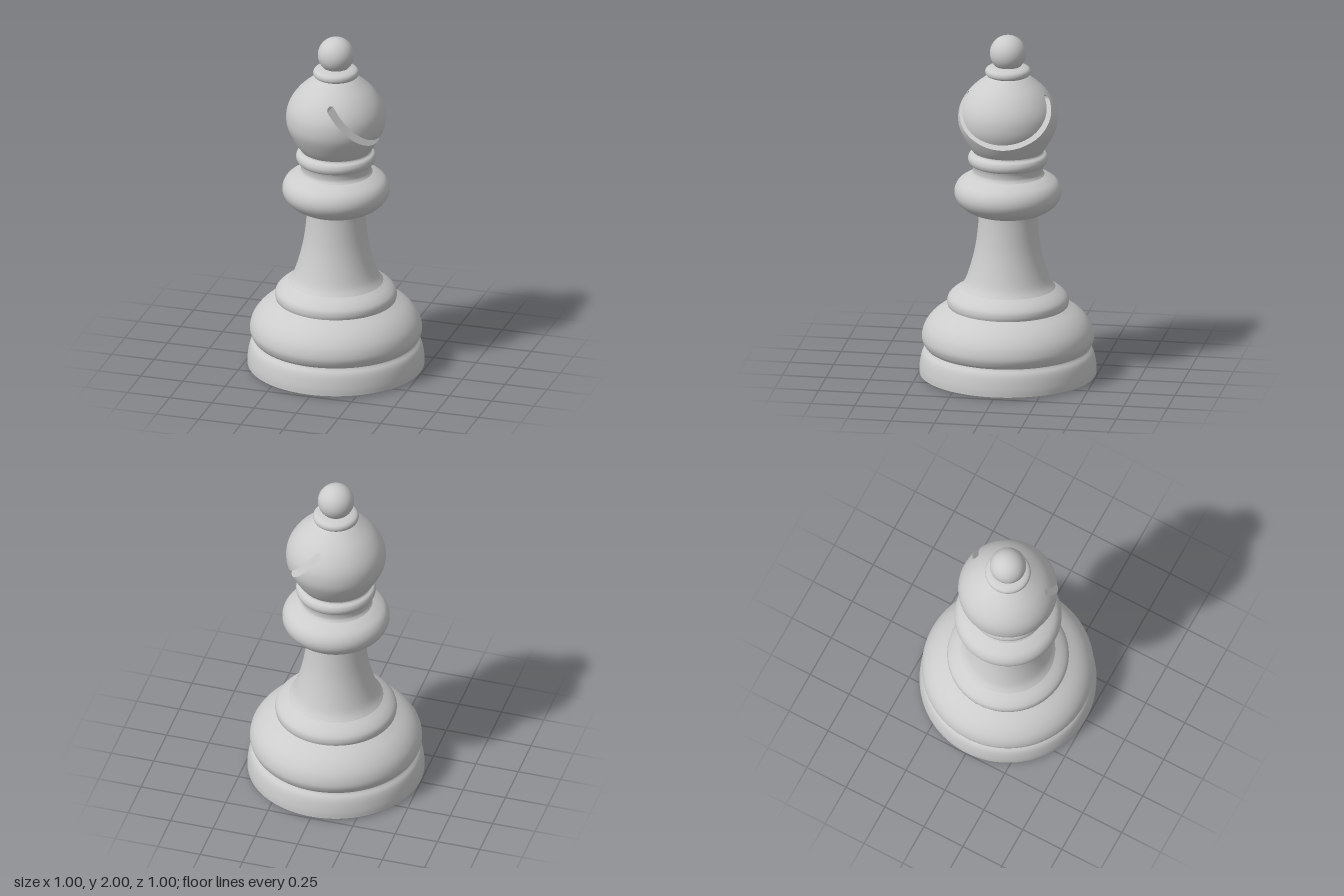
import * as THREE from 'three';

const SEGMENTS = 96;

// Smooth curve through [radius, height] pairs
const smooth = (pairs, n) =>
  new THREE.SplineCurve(pairs.map(([r, y]) => new THREE.Vector2(r, y))).getPoints(n);

const PARTS = {
  plinth: [[0.5, 0.012], [0.5, 0.05], [0.493, 0.1], [0.482, 0.135], [0.465, 0.158], [0.46, 0.168]],
  baseBulge: [[0.46, 0.165], [0.475, 0.185], [0.487, 0.225], [0.476, 0.28], [0.445, 0.33], [0.4, 0.372], [0.34, 0.41]],
  baseStep: [[0.338, 0.405], [0.344, 0.43], [0.338, 0.46], [0.31, 0.49], [0.265, 0.52]],
  stem: [[0.27, 0.515], [0.24, 0.56], [0.21, 0.65], [0.186, 0.75], [0.173, 0.84], [0.166, 0.92], [0.165, 0.965]],
  collar: [[0.16, 0.955], [0.22, 0.972], [0.273, 1.01], [0.3, 1.055], [0.301, 1.1], [0.28, 1.14], [0.24, 1.168], [0.205, 1.185]],
  neck: [[0.21, 1.18], [0.198, 1.2], [0.198, 1.225], [0.203, 1.245]],
  neckRing: [[0.195, 1.24], [0.217, 1.25], [0.226, 1.275], [0.219, 1.3], [0.2, 1.315], [0.197, 1.335]],
  finialRing: [[0.105, 1.762], [0.124, 1.772], [0.129, 1.79], [0.122, 1.807], [0.1, 1.818], [0.06, 1.825]],
};
const HEAD = [[0.196, 1.32], [0.225, 1.36], [0.258, 1.42], [0.277, 1.47], [0.282, 1.52], [0.276, 1.57],
  [0.256, 1.62], [0.222, 1.67], [0.183, 1.71], [0.13, 1.752], [0.1, 1.77]];

// Diagonal slot: direction, normal, half width and centre of its round end
const DIR = new THREE.Vector2(0.66, -0.75).normalize();
const NORMAL = new THREE.Vector2(-DIR.y, DIR.x);
const HALF = 0.019;
const END = new THREE.Vector2(0.04, 1.654);

function radiusAt(profile, y) {
  for (let i = 1; i < profile.length; i++) {
    const a = profile[i - 1], b = profile[i];
    if (y <= b.y) return a.x + (b.x - a.x) * (y - a.y) / (b.y - a.y);
  }
  return 0;
}

// Slot outline, anticlockwise, from the upper exit round the end to the lower exit
function slotOutline(profile) {
  const arc = [];
  for (let i = 0; i <= 6; i++) {
    const a = Math.PI * i / 6;
    arc.push(END.clone().addScaledVector(NORMAL, HALF * Math.cos(a)).addScaledVector(DIR, -HALF * Math.sin(a)));
  }
  const exit = (start) => {
    let lo = 0, hi = 0.42;
    for (let i = 0; i < 40; i++) {
      const t = (lo + hi) / 2, p = start.clone().addScaledVector(DIR, t);
      if (radiusAt(profile, p.y) > p.x) lo = t; else hi = t;
    }
    return start.clone().addScaledVector(DIR, lo);
  };
  return [exit(arc[0]), ...arc, exit(arc[6])];
}

// Keep the part of a polygon on one side of the line a-b (side 1 is left)
function clip(poly, a, b, side) {
  const dist = (v) => side * ((b.x - a.x) * (v[1] - a.y) - (b.y - a.y) * (v[0] - a.x));
  const out = [];
  poly.forEach((p, i) => {
    const q = poly[(i + 1) % poly.length], dp = dist(p), dq = dist(q);
    if (dp >= 0) out.push(p);
    if ((dp > 0 && dq < 0) || (dp < 0 && dq > 0)) out.push(p.map((v, k) => v + (q[k] - v) * dp / (dp - dq)));
  });
  return out;
}

// Head skin with the slot removed
function headSkin(profile, outline) {
  const lathe = new THREE.LatheGeometry(profile, SEGMENTS);
  const { position: P, normal: N } = lathe.attributes;
  const index = lathe.index.array, positions = [], normals = [];
  const vertex = (i) => [P.getX(i), P.getY(i), P.getZ(i), N.getX(i), N.getY(i), N.getZ(i)];
  const emit = (poly) => {
    for (let i = 1; i + 1 < poly.length; i++) {
      for (const v of [poly[0], poly[i], poly[i + 1]]) {
        positions.push(v[0], v[1], v[2]);
        normals.push(v[3], v[4], v[5]);
      }
    }
  };
  for (let i = 0; i < index.length; i += 3) {
    let rest = [vertex(index[i]), vertex(index[i + 1]), vertex(index[i + 2])];
    for (let e = 0; e + 1 < outline.length && rest.length > 2; e++) {
      emit(clip(rest, outline[e], outline[e + 1], -1));
      rest = clip(rest, outline[e], outline[e + 1], 1);
    }
  }
  const g = new THREE.BufferGeometry();
  g.setAttribute('position', new THREE.Float32BufferAttribute(positions, 3));
  g.setAttribute('normal', new THREE.Float32BufferAttribute(normals, 3));
  return g;
}

// Flat walls lining the slot, running from front to back through the head
function slotWalls(profile, outline) {
  const positions = [];
  const depth = (p) => Math.sqrt(Math.max(0, radiusAt(profile, p.y) ** 2 - p.x ** 2));
  for (let e = 0; e + 1 < outline.length; e++) {
    const first = e === 0, long = first || e === outline.length - 2;
    const steps = long ? 40 : 1;
    const at = (i) => {
      const s = i / steps;
      const t = !long ? s : first ? s * s : 1 - (1 - s) ** 2;
      return outline[e].clone().lerp(outline[e + 1], t);
    };
    for (let i = 0; i < steps; i++) {
      const a = at(i), b = at(i + 1), za = depth(a), zb = depth(b);
      positions.push(a.x, a.y, -za, a.x, a.y, za, b.x, b.y, zb);
      positions.push(a.x, a.y, -za, b.x, b.y, zb, b.x, b.y, -zb);
    }
  }
  const g = new THREE.BufferGeometry();
  g.setAttribute('position', new THREE.Float32BufferAttribute(positions, 3));
  g.computeVertexNormals();
  return g;
}

export function createModel() {
  const group = new THREE.Group();
  group.name = 'chessBishop';
  const grey = new THREE.MeshStandardMaterial({ color: 0xcccccc });
  grey.name = 'light grey';
  const add = (name, geometry) => {
    const mesh = new THREE.Mesh(geometry, grey);
    mesh.name = name;
    group.add(mesh);
    return mesh;
  };

  // Turned body
  for (const [name, pairs] of Object.entries(PARTS)) {
    add(name, new THREE.LatheGeometry(smooth(pairs, 28), SEGMENTS));
  }

  // Underside and its small bevel
  add('underside', new THREE.CircleGeometry(0.49, SEGMENTS).rotateX(Math.PI / 2));
  add('bottomBevel', new THREE.CylinderGeometry(0.5, 0.49, 0.012, SEGMENTS, 1, true).translate(0, 0.006, 0));

  // Slotted head
  const profile = smooth(HEAD, 48);
  const outline = slotOutline(profile);
  add('head', headSkin(profile, outline));
  add('slotWalls', slotWalls(profile, outline));

  // Ball on top
  add('finialBall', new THREE.SphereGeometry(0.103, 48, 32)).position.y = 1.897;

  return group;
}
